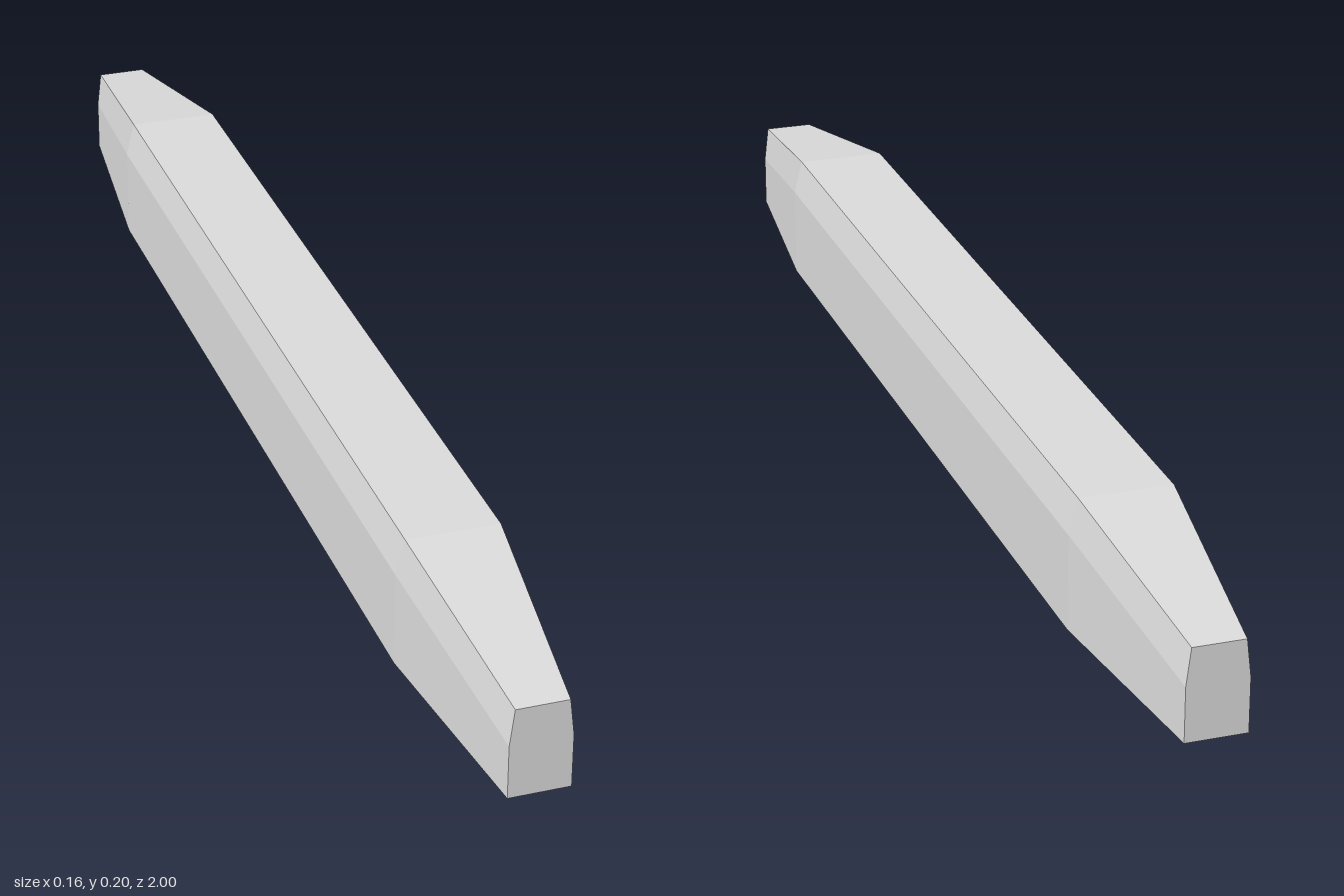
import * as THREE from 'three';

// Open sheet-metal shells, visible from inside as well
const housingGrey = new THREE.MeshStandardMaterial({ color: 0xd9d9d9 });
housingGrey.name = 'housingGrey';
housingGrey.side = THREE.DoubleSide;

// Cross-section open at the bottom, from the +x foot over the top to the -x foot
function section(z, halfBase, halfTop, shoulderY, topY) {
  const baseY = 0.0125;
  return [
    [halfBase, baseY, z], [halfBase, shoulderY, z], [halfTop, topY, z],
    [-halfTop, topY, z], [-halfBase, shoulderY, z], [-halfBase, baseY, z],
  ].map((p) => new THREE.Vector3(...p));
}

// Joins sections (running towards +z) with flat panels and closes both ends
function shell(sections) {
  const pos = [], nor = [];
  const tri = (n, ...corners) => corners.forEach((p) => {
    pos.push(p.x, p.y, p.z);
    nor.push(n.x, n.y, n.z);
  });
  // One normal per panel, so slightly twisted panels still shade flat
  const panel = (a, b, c, d) => {
    const n = c.clone().sub(a).cross(d.clone().sub(b)).normalize();
    tri(n, a, b, c);
    tri(n, a, c, d);
  };
  const count = sections[0].length;
  for (let s = 0; s < sections.length - 1; s++) {
    const a = sections[s], b = sections[s + 1];
    for (let i = 0; i < count - 1; i++) panel(a[i], a[i + 1], b[i + 1], b[i]);
  }
  const back = sections[0], front = sections[sections.length - 1];
  const forward = new THREE.Vector3(0, 0, 1), backward = new THREE.Vector3(0, 0, -1);
  for (let i = 1; i < count - 1; i++) {
    tri(backward, back[0], back[i + 1], back[i]);
    tri(forward, front[0], front[i], front[i + 1]);
  }
  const geo = new THREE.BufferGeometry();
  geo.setAttribute('position', new THREE.Float32BufferAttribute(pos, 3));
  geo.setAttribute('normal', new THREE.Float32BufferAttribute(nor, 3));
  return geo;
}

export function createModel() {
  const group = new THREE.Group();
  group.name = 'barFixture';
  const add = (name, geo) => {
    const mesh = new THREE.Mesh(geo, housingGrey);
    mesh.name = name;
    group.add(mesh);
    return mesh;
  };

  // Long hollow housing with tapered, sloping ends
  const end = [0.0435, 0.037, 0.092, 0.1465];
  const middle = [0.08, 0.067, 0.152, 0.2035];
  add('housing', shell([
    section(-1, ...end), section(-0.67, ...middle),
    section(0.67, ...middle), section(1, ...end),
  ]));

  // Shallow channel below the housing: a top plate with four rims, open downwards
  const halfX = 0.026, halfZ = 0.89, depth = 0.0125;
  add('channelTop', new THREE.PlaneGeometry(2 * halfX, 2 * halfZ).rotateX(-Math.PI / 2)).position.y = depth;
  for (const side of [1, -1]) {
    const long = add('channelSide', new THREE.PlaneGeometry(2 * halfZ, depth));
    long.rotation.y = side * Math.PI / 2;
    long.position.set(side * halfX, depth / 2, 0);
    const short = add('channelEnd', new THREE.PlaneGeometry(2 * halfX, depth));
    short.rotation.y = side > 0 ? 0 : Math.PI;
    short.position.set(0, depth / 2, side * halfZ);
  }

  return group;
}
